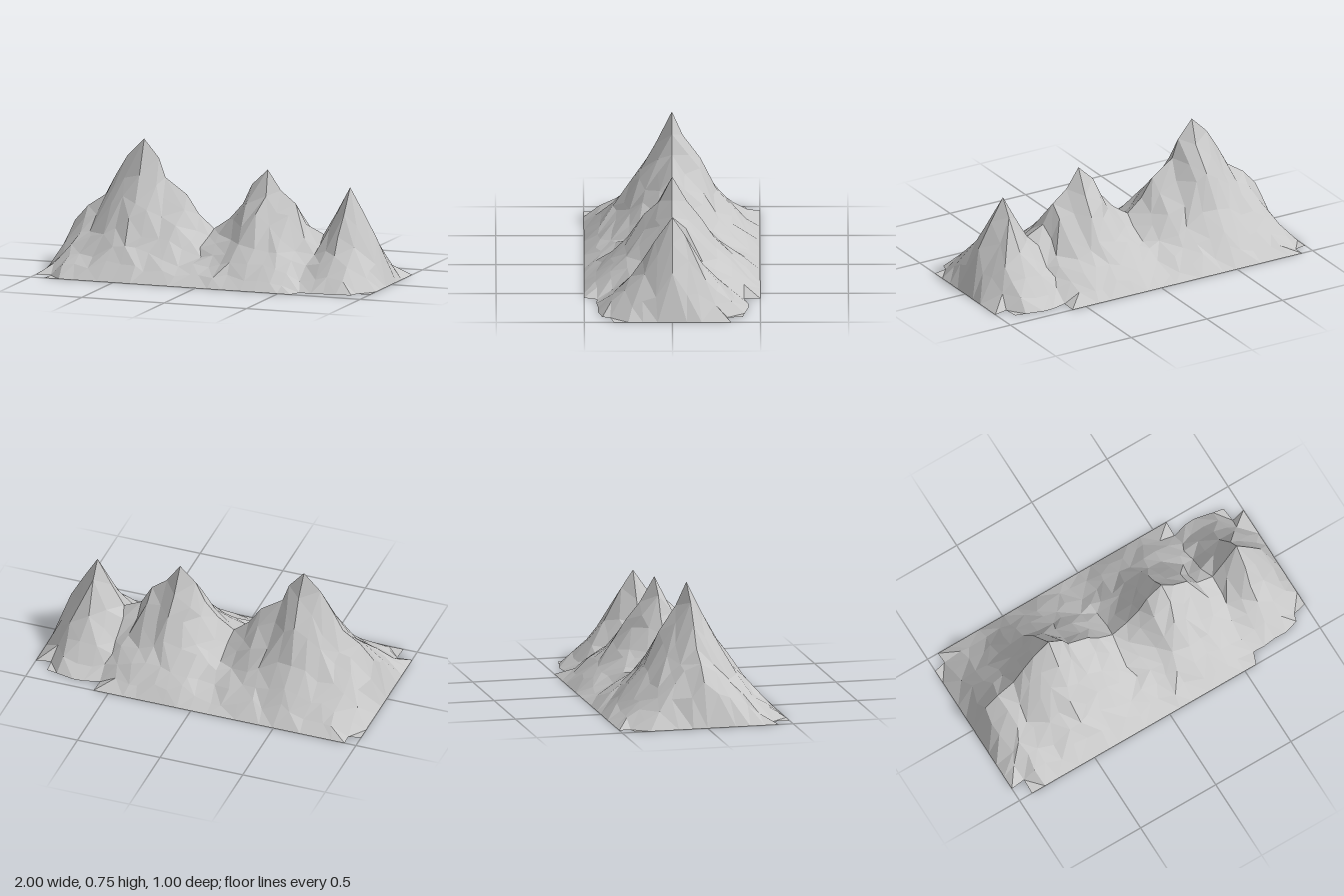
import * as THREE from 'three';

// Seeded random in -1..1
function makeRandom(seed) {
  return () => {
    seed = (seed * 1664525 + 1013904223) % 4294967296;
    return (seed / 4294967296) * 2 - 1;
  };
}

const COLS = 24, ROWS = 12, STEP = 1 / 12;

// Ridge line as x, y, one point for each grid column
const RIDGE = [[-1, 0], [-0.92, 0.25], [-0.84, 0.34], [-0.735, 0.41], [-0.67, 0.53],
  [-0.6, 0.645], [-0.5, 0.745], [-0.41, 0.64], [-0.37, 0.53], [-0.24, 0.44], [-0.165, 0.33],
  [-0.075, 0.255], [0.02, 0.32], [0.1, 0.41], [0.155, 0.525], [0.25, 0.615], [0.33, 0.5],
  [0.42, 0.43], [0.485, 0.315], [0.59, 0.265], [0.665, 0.39], [0.75, 0.545], [0.83, 0.41],
  [0.91, 0.265], [1, 0]];
// Fall of the high slopes from the ridge to the foot
const SLOPE = [[0, 1], [1, 0.79], [2, 0.605], [3, 0.39], [4, 0.245], [5, 0.115], [6, 0]];

// Straight-line lookup in a list of x, y points
function lookup(points, x) {
  let i = 1;
  while (i < points.length - 1 && points[i][0] < x) i++;
  const [x0, y0] = points[i - 1], [x1, y1] = points[i];
  return THREE.MathUtils.mapLinear(THREE.MathUtils.clamp(x, x0, x1), x0, x1, y0, y1);
}

// Half depth of the range at a column, in grid cells
function footCells(col) {
  if (col >= COLS - 1) return 4;
  if (col <= 1 || col >= 19) return 5;
  return 6;
}

// Peaks fall in a hollow curve, low saddles and ends more evenly
function slopeHeight(x, z, foot) {
  const ridge = lookup(RIDGE, x);
  const t = Math.min(1, Math.abs(z) / (foot * STEP));
  const peakiness = THREE.MathUtils.clamp((ridge - 0.25) / 0.35, 0, 1);
  return ridge * THREE.MathUtils.lerp(1 - t, lookup(SLOPE, t * 6), peakiness);
}

function buildTerrain() {
  const random = makeRandom(41);
  const points = [];
  for (let r = 0; r <= ROWS; r++) {
    for (let c = 0; c <= COLS; c++) {
      const cells = Math.abs(r - ROWS / 2);
      const jx = random(), jy = random(), jz = random();
      const foot = footCells(c);
      const edge = c === 0 || c === COLS;
      let x = -1 + c * STEP, y = 0, z = -0.5 + r * STEP;
      if (cells === 0) {
        [x, y] = RIDGE[c];
      } else if (!edge) {
        // Roughen the slopes, keeping the outer edges straight
        x += jx * 0.022;
        if (cells < 6) z += jz * 0.022;
        if (cells < foot) {
          const h = slopeHeight(x, z, foot);
          y = Math.max(0.005, h + jy * Math.min(0.014, h * 0.2));
        }
      }
      points.push(new THREE.Vector3(x, y, z));
    }
  }

  // Triangulate every cell that is not flat ground, with mixed diagonals
  const index = [];
  for (let r = 0; r < ROWS; r++) {
    for (let c = 0; c < COLS; c++) {
      const a = r * (COLS + 1) + c, b = a + 1, d = a + COLS + 1, e = d + 1;
      const turn = random() > 0;
      if (Math.max(points[a].y, points[b].y, points[d].y, points[e].y) < 1e-6) continue;
      if (turn) index.push(a, d, b, b, d, e);
      else index.push(a, d, e, a, e, b);
    }
  }
  const geometry = new THREE.BufferGeometry().setFromPoints(points);
  geometry.setIndex(index);
  const faceted = geometry.toNonIndexed();
  faceted.computeVertexNormals();
  return faceted;
}

export function createModel() {
  const group = new THREE.Group();
  group.name = 'mountainRange';
  const rock = new THREE.MeshStandardMaterial({
    color: 0xc8c8c8, flatShading: true, side: THREE.DoubleSide,
  });
  rock.name = 'grey rock';

  // Open shell of three peaks joined by a ridge
  const mountains = new THREE.Mesh(buildTerrain(), rock);
  mountains.name = 'mountains';
  group.add(mountains);
  return group;
}
